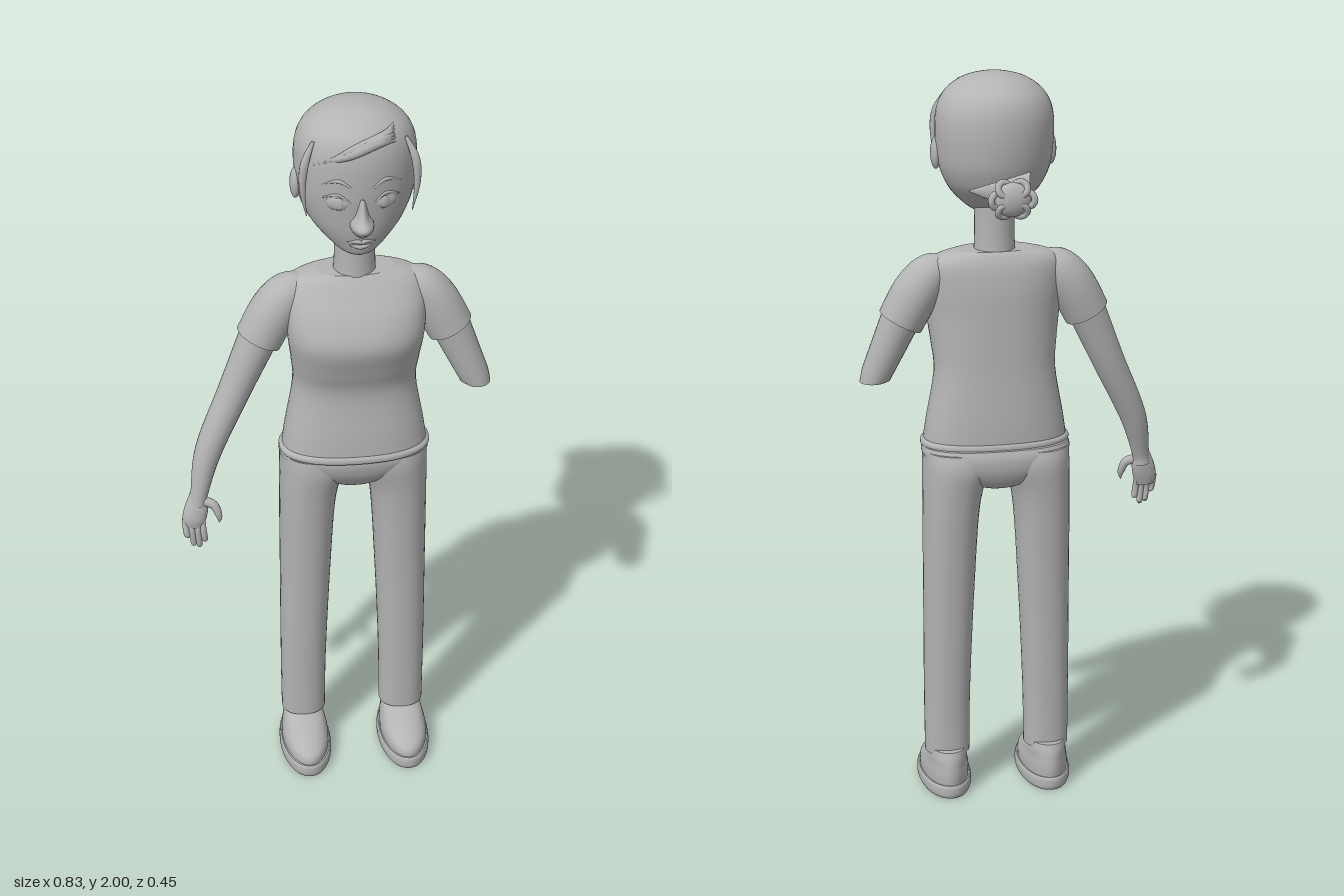
import * as THREE from 'three';

const CX = 0.053; // the body's own centre line
const clay = new THREE.MeshStandardMaterial({ color: 0xb4b4b4 });
clay.name = 'clay grey';

// Skin a list of point rings; the caps get their own vertices so their rims stay sharp
function skin(rings) {
  const n = rings[0].length, pos = [], idx = [];
  const put = p => pos.push(p.x, p.y, p.z) / 3 - 1;
  rings.forEach(r => r.forEach(put));
  for (let j = 0; j < rings.length - 1; j++) {
    for (let i = 0; i < n; i++) {
      const a = j * n + i, b = j * n + (i + 1) % n;
      idx.push(a, a + n, b, b, a + n, b + n);
    }
  }
  [rings[0], rings[rings.length - 1]].forEach((r, end) => {
    const mid = new THREE.Vector3();
    r.forEach(p => mid.addScaledVector(p, 1 / n));
    const c = put(mid), s = c + 1;
    r.forEach(put);
    for (let i = 0; i < n; i++) {
      const a = s + i, b = s + (i + 1) % n;
      if (end) idx.push(c, b, a); else idx.push(c, a, b);
    }
  });
  const g = new THREE.BufferGeometry();
  g.setAttribute('position', new THREE.Float32BufferAttribute(pos, 3));
  g.setIndex(idx);
  g.computeVertexNormals();
  return g;
}

// Smooth interpolation through a list of number rows, t from 0 to 1
function rowAt(rows, t) {
  const f = t * (rows.length - 1), i = Math.min(Math.floor(f), rows.length - 2), u = f - i;
  const at = k => rows[Math.max(0, Math.min(rows.length - 1, k))];
  return rows[i].map((b, k) => {
    const a = at(i - 1)[k], c = at(i + 1)[k], d = at(i + 2)[k];
    return b + 0.5 * u * (c - a + u * (2 * a - 5 * b + 4 * c - d + u * (3 * (b - c) + d - a)));
  });
}

// Upright loft: rows are [y, centre x, half width, back z, front z]; power above 2 squares it off
function loft(rows, power = 2, seg = 36, steps = 5) {
  const rings = [], count = (rows.length - 1) * steps;
  const bend = v => Math.sign(v) * Math.abs(v) ** (2 / power);
  for (let j = 0; j <= count; j++) {
    const [y, cx, w, back, front] = rowAt(rows, j / count);
    rings.push(Array.from({ length: seg }, (_, i) => {
      const a = i / seg * Math.PI * 2;
      return new THREE.Vector3(cx + w * bend(Math.cos(a)), y,
        (back + front) / 2 + (front - back) / 2 * bend(Math.sin(a)));
    }));
  }
  return skin(rings);
}

// Limb along a path: rows are [x, y, z, radius]; flat scales the depth; cutY levels the end
function limb(rows, { flat = 1, seg = 20, steps = 6, cutY } = {}) {
  const rings = [], count = (rows.length - 1) * steps;
  const point = t => new THREE.Vector3(...rowAt(rows, t).slice(0, 3));
  for (let j = 0; j <= count; j++) {
    const t = j / count, c = point(t), r = Math.max(rowAt(rows, t)[3], 0.0005);
    const d = point(Math.min(1, t + 0.01)).sub(point(Math.max(0, t - 0.01))).normalize();
    const u = new THREE.Vector3(0, 0, 1).addScaledVector(d, -d.z).normalize();
    const v = new THREE.Vector3().crossVectors(u, d);
    const ring = Array.from({ length: seg }, (_, i) => {
      const a = i / seg * Math.PI * 2;
      return c.clone().addScaledVector(u, r * flat * Math.cos(a)).addScaledVector(v, r * Math.sin(a));
    });
    if (cutY !== undefined && j === count) ring.forEach(p => { p.y = cutY; });
    rings.push(ring);
  }
  return skin(rings);
}

const HEAD = [
  [1.617, CX, 0.02, 0.08, 0.125], [1.63, CX, 0.05, 0.03, 0.145], [1.66, CX, 0.086, -0.03, 0.155],
  [1.70, CX, 0.12, -0.08, 0.165], [1.75, CX, 0.143, -0.105, 0.172], [1.80, CX, 0.152, -0.115, 0.178],
  [1.86, CX, 0.155, -0.118, 0.18], [1.91, CX, 0.149, -0.112, 0.176], [1.95, CX, 0.128, -0.093, 0.162],
  [1.98, CX, 0.088, -0.055, 0.125], [1.995, CX, 0.04, -0.005, 0.075], [1.999, CX, 0.002, 0.033, 0.037],
];

// Front surface of the head at a given x offset and height
function faceZ(dx, y) {
  const i = Math.max(0, HEAD.findIndex(r => r[0] > y) - 1), a = HEAD[i], b = HEAD[i + 1];
  const [, , w, back, front] = a.map((v, k) => v + (b[k] - v) * (y - a[0]) / (b[0] - a[0]));
  return (back + front) / 2 + (front - back) / 2 * Math.sqrt(Math.max(0, 1 - (dx / w) ** 2));
}
const onFace = (dx, y, r, lift = 0) => [CX + dx, y, faceZ(dx, y) + lift, r];

export function createModel() {
  const model = new THREE.Group();
  const add = (name, geometry) => {
    const m = new THREE.Mesh(geometry, clay);
    m.name = name;
    model.add(m);
    return m;
  };
  const ball = (name, x, y, z, sx, sy, sz) => {
    const m = add(name, new THREE.SphereGeometry(1, 20, 14));
    m.position.set(x, y, z);
    m.scale.set(sx, sy, sz);
    return m;
  };

  // Head, neck and face
  add('head', loft(HEAD, 2, 44));
  add('neck', loft([[1.48, CX, 0.06, -0.025, 0.095], [1.56, CX, 0.053, -0.02, 0.09], [1.68, CX, 0.053, -0.02, 0.09]]));
  add('nose', loft([[1.688, CX, 0.006, 0.13, 0.172], [1.705, CX, 0.024, 0.11, 0.198], [1.73, CX, 0.03, 0.1, 0.226],
    [1.755, CX, 0.018, 0.1, 0.205], [1.80, CX, 0.01, 0.1, 0.182]], 2, 20));
  add('upperLip', limb([onFace(-0.04, 1.668, 0.001), onFace(-0.012, 1.673, 0.006), onFace(0, 1.67, 0.006),
    onFace(0.012, 1.673, 0.006), onFace(0.04, 1.668, 0.001)], { seg: 10 }));
  add('lowerLip', limb([onFace(-0.03, 1.66, 0.001), onFace(0, 1.655, 0.007), onFace(0.03, 1.66, 0.001)], { seg: 10 }));

  for (const s of [-1, 1]) {
    const side = s > 0 ? 'left' : 'right';
    // Eyes, lids and brows
    ball(side + 'Eye', CX + s * 0.06, 1.786, faceZ(0.06, 1.786) - 0.006, 0.03, 0.021, 0.01).rotation.y = s * 0.38;
    ball(side + 'Iris', CX + s * 0.058, 1.786, faceZ(0.058, 1.786) + 0.001, 0.013, 0.017, 0.005).rotation.y = s * 0.38;
    add(side + 'Eyelid', limb([onFace(s * 0.03, 1.79, 0.002), onFace(s * 0.06, 1.811, 0.004),
      onFace(s * 0.095, 1.797, 0.002)], { seg: 8 }));
    add(side + 'Brow', limb([onFace(s * 0.028, 1.832, 0.003), onFace(s * 0.06, 1.85, 0.005),
      onFace(s * 0.1, 1.832, 0.001)], { seg: 8 }));
    // Ears and temple locks
    ball(side + 'Ear', CX + s * 0.152, 1.79, 0.045, 0.014, 0.042, 0.024);
    add(side + 'TempleLock', limb([[CX + s * 0.115, 1.935, 0.115, 0.004], [CX + s * 0.138, 1.88, 0.128, 0.011],
      [CX + s * 0.143, 1.81, 0.127, 0.008], [CX + s * 0.133, 1.735, 0.122, 0.001]], { flat: 0.8, seg: 10 }));

    // Sleeves
    add(side + 'Sleeve', limb([[CX + s * 0.13, 1.485, 0.036, 0.04], [CX + s * 0.172, 1.468, 0.037, 0.056],
      [CX + s * 0.21, 1.42, 0.039, 0.063], [CX + s * 0.25, 1.345, 0.044, 0.062]], { seg: 28 }));
    // Right arm reaches the wrist, left arm stops level below the elbow
    const arm = [[CX + s * 0.235, 1.385, 0.043, 0.054], [CX + s * 0.257, 1.335, 0.046, 0.051],
      [CX + s * 0.318, 1.195, 0.056, 0.043]];
    if (s < 0) arm.push([-0.338, 1.035, 0.083, 0.036], [-0.367, 0.92, 0.106, 0.024], [-0.372, 0.885, 0.11, 0.024]);
    else arm[2] = [CX + 0.324, 1.18, 0.058, 0.039];
    add(side + 'Arm', limb(arm, { seg: 24, cutY: s > 0 ? 1.18 : undefined }));

    // Trouser legs
    add(side + 'Leg', loft([[0.115, CX + s * 0.139, 0.061, -0.03, 0.085], [0.3, CX + s * 0.138, 0.063, -0.036, 0.09],
      [0.6, CX + s * 0.131, 0.069, -0.053, 0.102], [0.85, CX + s * 0.122, 0.077, -0.075, 0.12],
      [0.95, CX + s * 0.104, 0.094, -0.085, 0.132], [0.995, CX + s * 0.1, 0.096, -0.075, 0.13]], 2.3));

    // Shoes: flat sole with a sloped upper
    const x = CX + s * 0.14;
    add(side + 'Sole', loft([[0, x, 0.066, -0.064, 0.22], [0.01, x, 0.071, -0.068, 0.224],
      [0.03, x, 0.071, -0.068, 0.224], [0.037, x, 0.067, -0.064, 0.22]], 2.1));
    add(side + 'Shoe', loft([[0.03, x, 0.064, -0.062, 0.216], [0.06, x, 0.064, -0.064, 0.21],
      [0.085, x, 0.058, -0.062, 0.165], [0.108, x, 0.052, -0.058, 0.095], [0.13, x, 0.044, -0.05, 0.05]]));
  }

  // Hand: palm, four fingers and a thumb
  add('rightPalm', limb([[-0.371, 0.915, 0.107, 0.022], [-0.376, 0.88, 0.113, 0.031],
    [-0.384, 0.845, 0.12, 0.032], [-0.386, 0.82, 0.122, 0.024]], { flat: 0.6 }));
  for (let i = 0; i < 4; i++) {
    const x = -0.409 + i * 0.015, tip = [0.79, 0.765, 0.76, 0.775][i];
    add('rightFinger' + (i + 1), limb([[x, 0.845, 0.12, 0.009], [x + 0.002, 0.81, 0.13, 0.009],
      [x + 0.006, tip + 0.006, 0.13, 0.008], [x + 0.007, tip, 0.129, 0.001]], { seg: 10 }));
  }
  add('rightThumb', limb([[-0.36, 0.895, 0.115, 0.014], [-0.332, 0.885, 0.124, 0.012],
    [-0.319, 0.855, 0.131, 0.009], [-0.319, 0.833, 0.132, 0.001]], { seg: 10 }));

  // Shirt with a turned hem
  add('shirt', loft([[1.0, CX, 0.195, -0.064, 0.15], [1.07, CX, 0.185, -0.064, 0.146], [1.2, CX, 0.163, -0.058, 0.136],
    [1.28, CX, 0.168, -0.056, 0.16], [1.36, CX, 0.178, -0.054, 0.184], [1.43, CX, 0.183, -0.052, 0.162],
    [1.49, CX, 0.18, -0.044, 0.122], [1.52, CX, 0.155, -0.033, 0.1], [1.535, CX, 0.1, -0.022, 0.088]], 2.35, 48));
  add('shirtHem', loft([[0.997, CX, 0.192, -0.062, 0.148], [1.003, CX, 0.2, -0.068, 0.154],
    [1.014, CX, 0.2, -0.068, 0.154], [1.022, CX, 0.19, -0.063, 0.148]], 2.35, 48));
  // Trouser seat
  add('trouserSeat', loft([[0.885, CX, 0.03, -0.02, 0.06], [0.9, CX, 0.075, -0.06, 0.1], [0.94, CX, 0.165, -0.082, 0.13],
    [0.98, CX, 0.198, -0.086, 0.142], [1.005, CX, 0.197, -0.078, 0.14]], 2.5, 48));

  // Swept fringe
  for (let i = 0; i < 5; i++) {
    const d = i * 0.012;
    add('fringe' + (i + 1), limb([onFace(0.085, 1.966 - d * 0.6, 0.003, 0.002), onFace(0.06 - d * 0.4, 1.957 - d * 0.3, 0.011, 0.004),
      onFace(-0.02 - d * 0.4, 1.935 - d * 0.4, 0.01, 0.003), onFace(-0.08 - d, 1.9 - d * 0.6, 0.002, 0.001)],
      { flat: 0.7, seg: 10 }));
  }
  // Gathered hair and coiled bun
  add('gatheredHair', limb([[0.148, 1.725, -0.125, 0.002], [0.06, 1.718, -0.138, 0.035],
    [0.0, 1.713, -0.148, 0.06]], { flat: 0.4, seg: 16 }));
  ball('bun', 0.052, 1.715, -0.198, 0.05, 0.045, 0.025);
  for (let i = 0; i < 6; i++) {
    const a = i / 6 * Math.PI * 2;
    const coil = add('bunCoil' + (i + 1), new THREE.TorusGeometry(0.018, 0.009, 8, 16));
    coil.position.set(0.052 + 0.04 * Math.cos(a), 1.715 + 0.032 * Math.sin(a), -0.203);
    coil.rotation.set(0.5 * Math.sin(a), 0.5 * Math.cos(a), 0);
  }
  return model;
}
